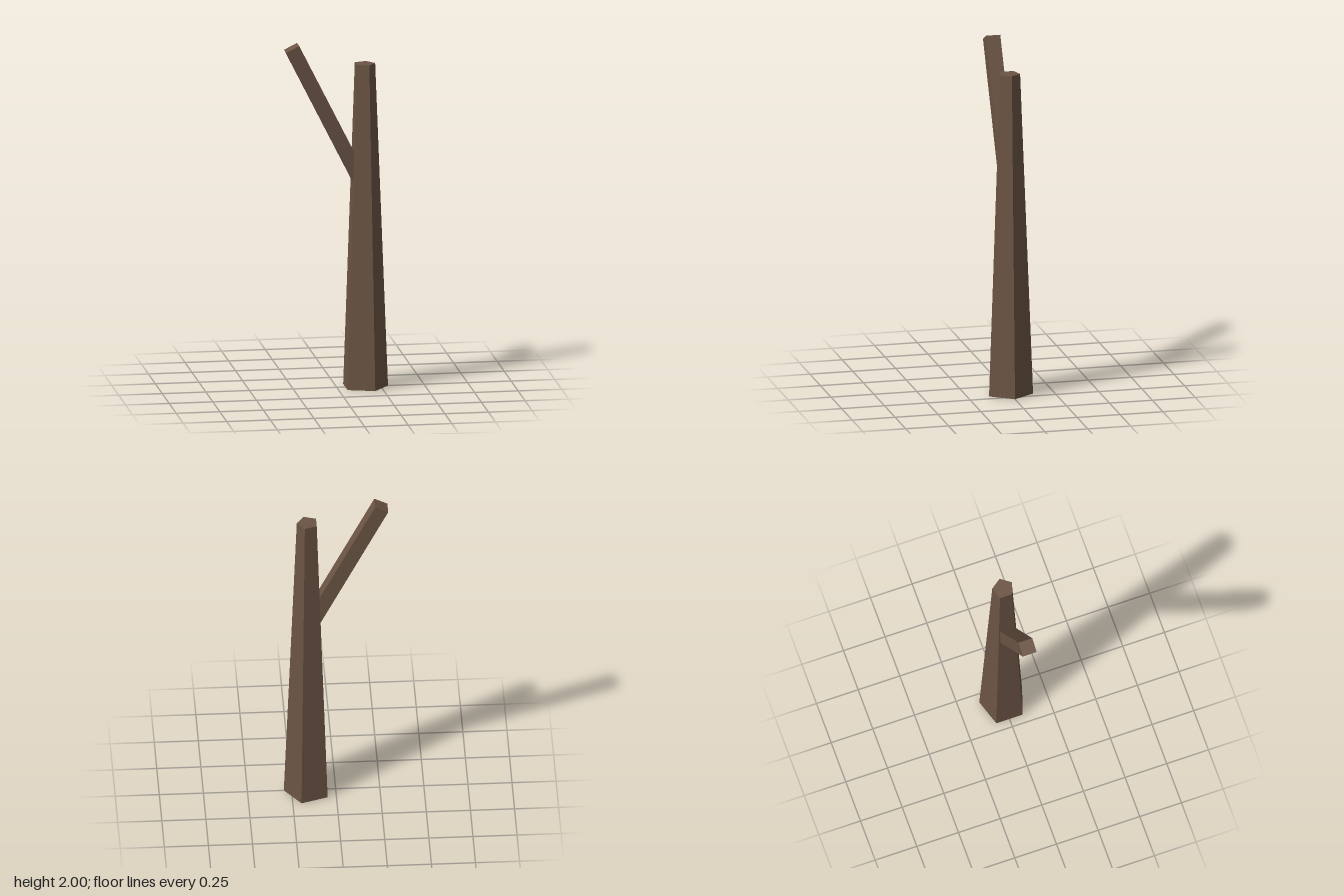
import * as THREE from 'three';

export function createModel() {
  const group = new THREE.Group();
  const bark = new THREE.MeshStandardMaterial({ color: 0x6b5444, flatShading: true });
  const trunkX = 0.159;

  // Tapered five-sided trunk with one corner pointing to +x
  const trunkHeight = 1.877;
  const trunk = new THREE.Mesh(
    new THREE.CylinderGeometry(0.0615, 0.135, trunkHeight, 5, 1, false, Math.PI / 2), bark);
  trunk.name = 'trunk';
  trunk.position.set(trunkX, trunkHeight / 2, 0);
  group.add(trunk);

  // Square branch leaning to -x, its lower end buried in the trunk
  const tilt = 0.466, length = 0.92, width = 0.083;
  const branch = new THREE.Mesh(
    new THREE.BoxGeometry(width, length, width).translate(0, -length / 2, 0), bark);
  branch.name = 'branch';
  branch.position.set(-0.2585, 1.9815, 0);
  branch.rotation.z = tilt;
  group.add(branch);

  return group;
}
